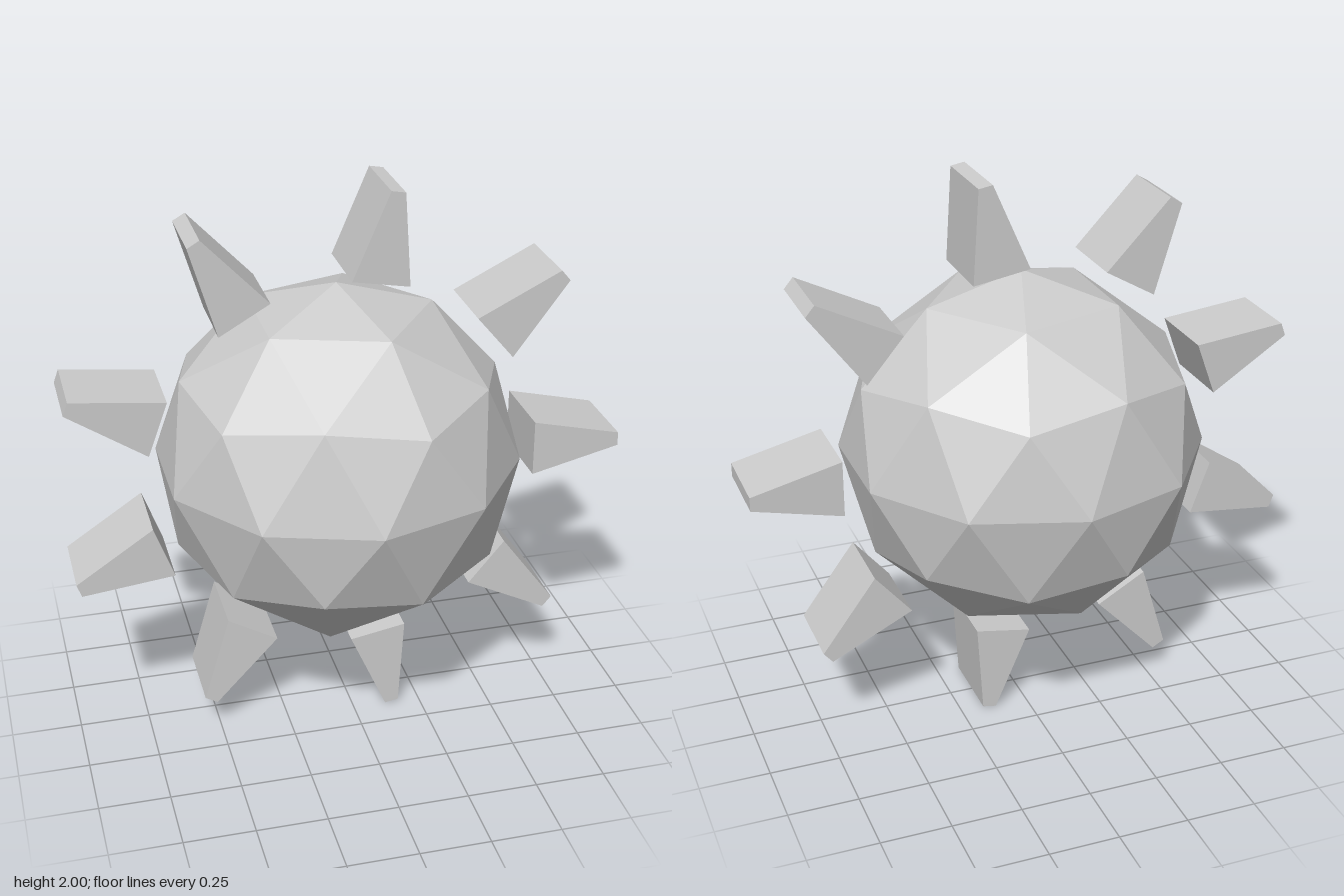
import * as THREE from 'three';

const CENTER = [-0.03, 1, 0];
const RADIUS = 0.647;
const RAYS = 9;

export function createModel() {
  const model = new THREE.Group();
  model.name = 'sun';
  const material = new THREE.MeshStandardMaterial({ color: 0xcccccc, flatShading: true });

  // Low-poly ball, turned so one icosahedron corner points straight up
  const ballGeometry = new THREE.IcosahedronGeometry(RADIUS, 1);
  ballGeometry.rotateZ(-Math.atan(2 / (1 + Math.sqrt(5))));
  const ball = new THREE.Mesh(ballGeometry, material);
  ball.name = 'ball';
  ball.position.set(...CENTER);
  model.add(ball);

  // One tapered ray along +x, floating just off the ball
  const outline = new THREE.Shape([
    new THREE.Vector2(0.69, -0.102),
    new THREE.Vector2(1.01, -0.025),
    new THREE.Vector2(1.01, 0.025),
    new THREE.Vector2(0.69, 0.102),
  ]);
  const rayGeometry = new THREE.ExtrudeGeometry(outline, { depth: 0.28, bevelEnabled: false });
  rayGeometry.translate(0, 0, -0.14);

  // Ring of rays in the upright plane
  const rays = new THREE.Group();
  rays.name = 'rays';
  rays.position.set(...CENTER);
  for (let i = 0; i < RAYS; i++) {
    const ray = new THREE.Mesh(rayGeometry, material);
    ray.name = `ray${i + 1}`;
    ray.rotation.z = (i / RAYS) * Math.PI * 2;
    rays.add(ray);
  }
  model.add(rays);
  return model;
}
